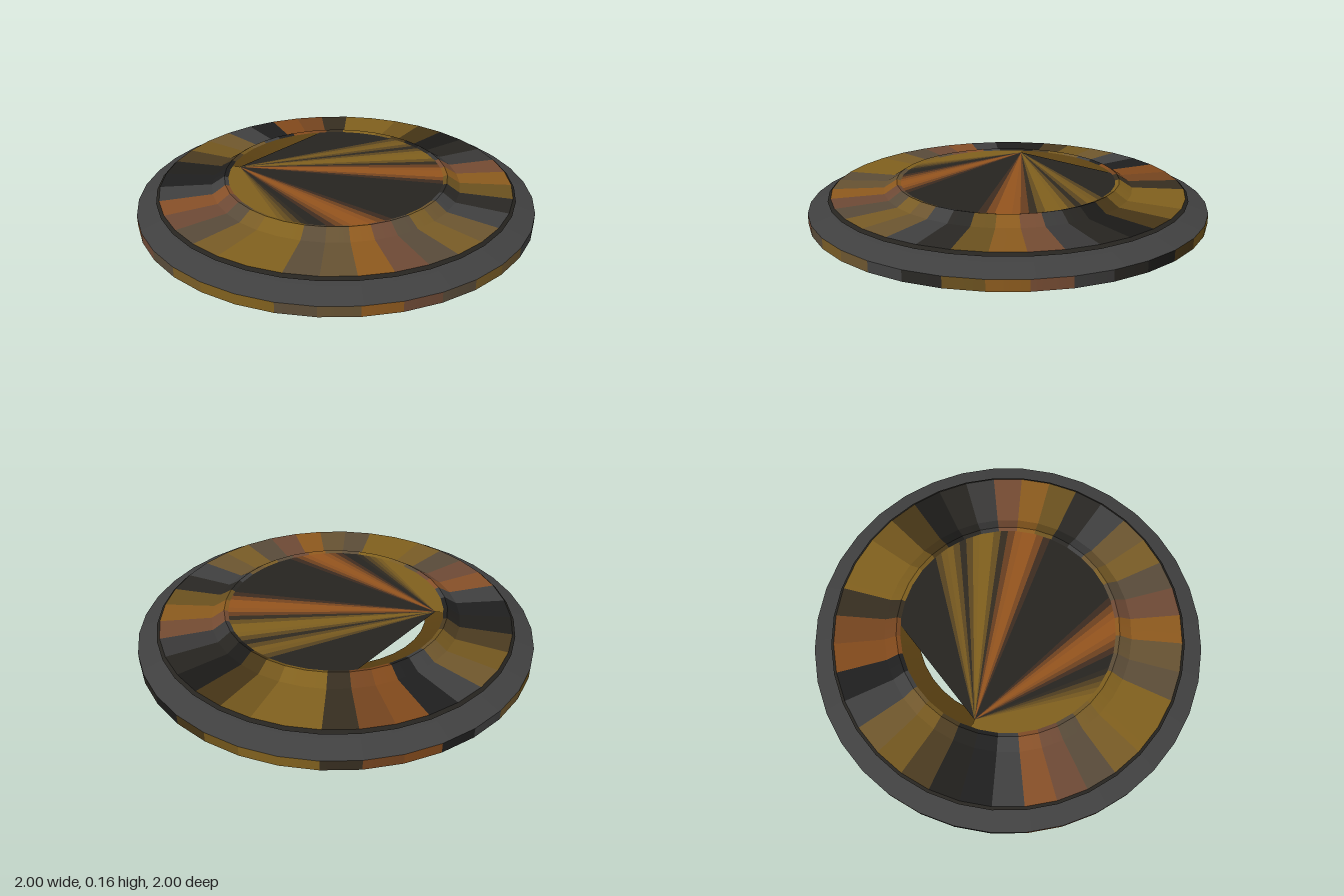
import * as THREE from 'three';

const SIDES = 36;
const STEP = (Math.PI * 2) / SIDES;
const GREY = 0x404040, DARK = 0x262420, BLACK = 0x121212;
const BROWN = 0x80601e, ORANGE = 0x94541e, UNDER = 0x5a4012;

// Colour stops around the disc: [degrees from the front towards +x, colour]
const BODY = [
  [0, BROWN], [8, ORANGE], [20, GREY], [38, BROWN], [55, GREY], [66, DARK],
  [80, BROWN], [90, ORANGE], [100, GREY], [115, DARK], [130, BLACK], [150, BROWN],
  [165, BROWN], [176, DARK], [192, ORANGE], [203, BLACK], [215, GREY], [230, BROWN],
  [250, DARK], [263, BLACK], [275, GREY], [288, ORANGE], [300, GREY], [318, BROWN],
  [335, BROWN], [350, GREY], [360, BROWN],
];
const CAP = [
  [-104, BROWN], [-50, BROWN], [-34, BROWN], [-18, DARK], [-8, DARK], [3, ORANGE],
  [12, ORANGE], [22, DARK], [72, DARK], [80, ORANGE], [88, ORANGE], [96, DARK],
  [104, BROWN], [112, BROWN], [120, DARK], [130, BROWN], [140, DARK], [182, DARK],
];

function colourAt(stops, deg) {
  let i = 1;
  while (i < stops.length - 1 && stops[i][0] < deg) i++;
  const [a, ca] = stops[i - 1], [b, cb] = stops[i];
  const t = THREE.MathUtils.clamp((deg - a) / (b - a), 0, 1);
  return new THREE.Color(ca).lerp(new THREE.Color(cb), t);
}

function material(color) {
  const m = new THREE.MeshStandardMaterial({ side: THREE.DoubleSide });
  m.color.set(color);
  return m;
}

// One lathed strip per pair of profile points keeps the edges between strips crisp
function turned(name, profile, color) {
  const group = new THREE.Group();
  group.name = name;
  const painted = Array.isArray(color);
  for (let i = 0; i < profile.length - 1; i++) {
    const pts = [profile[i], profile[i + 1]].map(([r, y]) => new THREE.Vector2(r, y));
    for (let s = 0; s < (painted ? SIDES : 1); s++) {
      const geo = painted
        ? new THREE.LatheGeometry(pts, 1, s * STEP, STEP)
        : new THREE.LatheGeometry(pts, SIDES);
      const c = painted ? colourAt(color, (s + 0.5) * (360 / SIDES)) : color;
      const mesh = new THREE.Mesh(geo, material(c));
      mesh.name = name + 'Strip';
      group.add(mesh);
    }
  }
  return group;
}

// Flat cap fanned from one point on its edge, with a gap left at the back
function fanCap() {
  const group = new THREE.Group();
  group.name = 'cap';
  const y = 0.155, r = 0.56, from = -104, to = 182, n = 72;
  const rim = (deg) => {
    const a = THREE.MathUtils.degToRad(deg);
    return [r * Math.sin(a), y, r * Math.cos(a)];
  };
  for (let i = 0; i < n; i++) {
    const a = from + ((to - from) * i) / n, b = from + ((to - from) * (i + 1)) / n;
    const geo = new THREE.BufferGeometry();
    geo.setAttribute('position', new THREE.Float32BufferAttribute(
      [-0.49, y, -0.12, ...rim(a), ...rim(b)], 3));
    geo.computeVertexNormals();
    const mesh = new THREE.Mesh(geo, material(colourAt(CAP, (a + b) / 2)));
    mesh.name = 'capWedge';
    group.add(mesh);
  }
  return group;
}

export function createModel() {
  const model = new THREE.Group();
  model.name = 'disc';
  // Base: outer wall, sloping rim and groove
  model.add(turned('outerWall', [[1, 0], [1, 0.052]], BODY));
  model.add(turned('rim', [[1, 0.052], [0.9, 0.082], [0.86, 0.088]], GREY));
  // Flange with a pointed edge above the groove
  model.add(turned('flangeEdge', [[0.86, 0.088], [0.903, 0.105], [0.888, 0.118]], DARK));
  model.add(turned('flangeTop', [[0.888, 0.118], [0.63, 0.12]], BODY));
  // Raised collar around the cap
  model.add(turned('collar', [[0.63, 0.12], [0.575, 0.155], [0.565, 0.162], [0.545, 0.155]], BODY));
  model.add(fanCap());
  // Underside: flat foot ring, recess wall and sloping recess
  model.add(turned('footRing', [[1, 0], [0.777, 0]], UNDER));
  model.add(turned('recessWall', [[0.777, 0], [0.777, 0.04]], BROWN));
  model.add(turned('recess', [[0.777, 0.04], [0.456, 0.118], [0.545, 0.155]], UNDER));
  return model;
}
